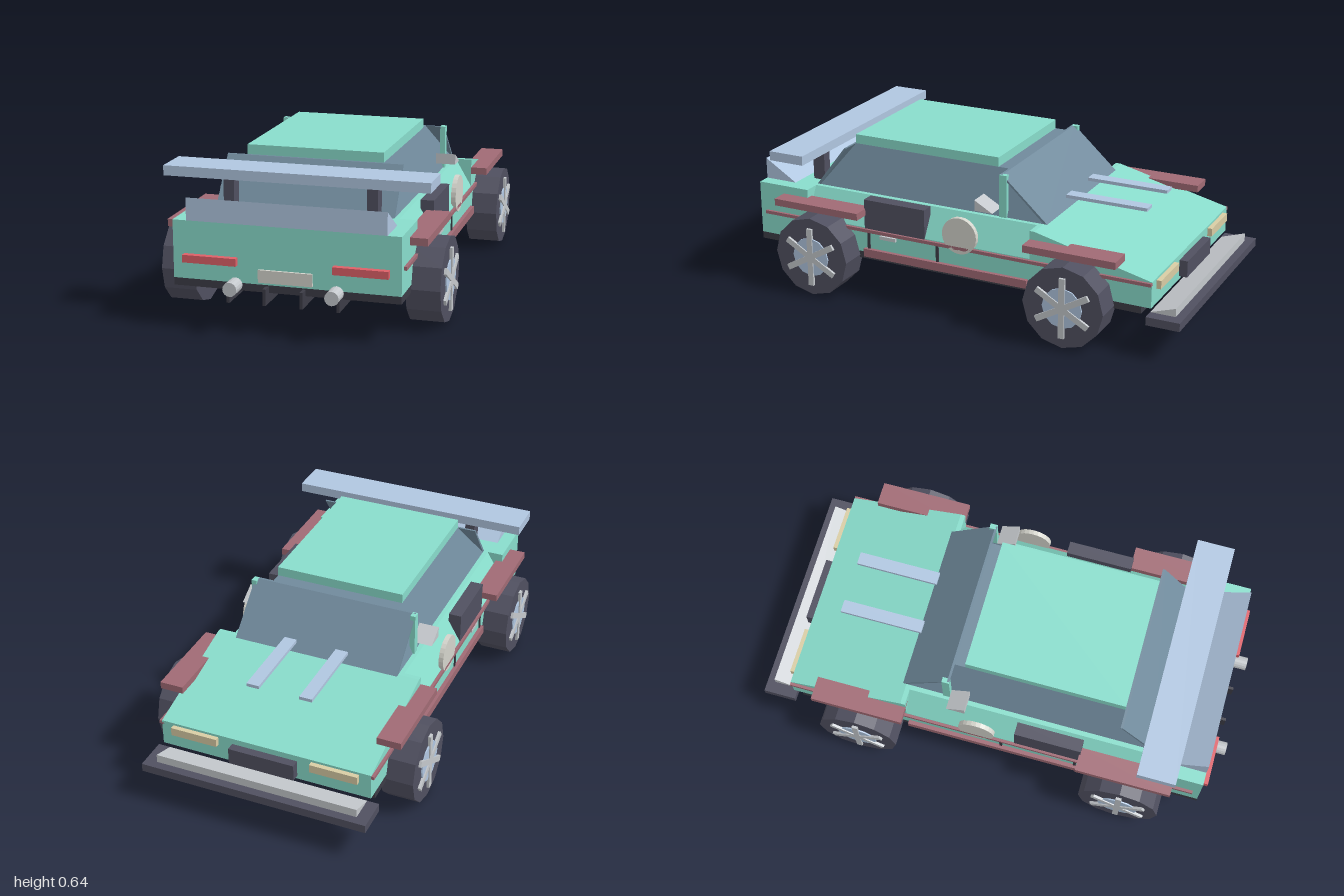
import * as THREE from 'three';

const COLORS = {
  green: 0x88dccb, slate: 0x708a9c, blue: 0xb0c6e0, maroon: 0xa06a74, red: 0xdd6068,
  dark: 0x505060, black: 0x3c3c46, grey: 0xc4c8cc, plate: 0xd4d4cc, cream: 0xd8cca4,
};
const mats = {};
for (const k in COLORS) {
  mats[k] = new THREE.MeshStandardMaterial({ color: COLORS[k], flatShading: true });
}

export function createModel() {
  const car = new THREE.Group();
  car.name = 'car';

  function add(name, geo, color, parent = car) {
    const mesh = new THREE.Mesh(geo, mats[color]);
    mesh.name = name;
    parent.add(mesh);
    return mesh;
  }
  // Box from its min and max along each axis
  function box(name, color, [x0, x1], [y0, y1], [z0, z1], parent) {
    const geo = new THREE.BoxGeometry(x1 - x0, y1 - y0, z1 - z0);
    geo.translate((x0 + x1) / 2, (y0 + y1) / 2, (z0 + z1) / 2);
    return add(name, geo, color, parent);
  }
  function extrude(points, depth) {
    const shape = new THREE.Shape(points.map(([a, b]) => new THREE.Vector2(a, b)));
    return new THREE.ExtrudeGeometry(shape, { depth, bevelEnabled: false });
  }
  // Side profile of [z, y] points, spanning x0 to x1
  function prismGeo(points, x0, x1) {
    return extrude(points, x1 - x0).rotateY(-Math.PI / 2).translate(x1, 0, 0);
  }
  // Same box on both sides, given for +x
  function pair(name, color, [x0, x1], ys, zs) {
    box(name + 'Left', color, [x0, x1], ys, zs);
    box(name + 'Right', color, [-x1, -x0], ys, zs);
  }

  // Body: sloping hood, cabin section with slanted shoulders, tail
  add('hood', prismGeo([[-0.35, 0.19], [-0.35, 0.42], [-0.37, 0.42], [-0.87, 0.3], [-0.87, 0.19]], -0.45, 0.45), 'green');
  const section = [[-0.45, 0.19], [0.45, 0.19], [0.45, 0.3], [0.38, 0.42], [-0.38, 0.42], [-0.45, 0.3]];
  add('cabinBody', extrude(section, 1.04).translate(0, 0, -0.35), 'green');
  box('tailBody', 'green', [-0.45, 0.45], [0.19, 0.42], [0.69, 0.93]);
  box('floor', 'black', [-0.45, 0.45], [0.16, 0.19], [-0.83, 0.93]);

  // Glasshouse narrowing to the roof, with full-width front and rear screens
  const glass = prismGeo([[-0.38, 0.42], [-0.18, 0.6], [0.55, 0.6], [0.69, 0.42]], -0.36, 0.36);
  const p = glass.attributes.position;
  for (let i = 0; i < p.count; i++) if (p.getY(i) > 0.5) p.setX(i, p.getX(i) * 0.28 / 0.36);
  glass.computeVertexNormals();
  add('glasshouse', glass, 'slate');
  add('windshield', prismGeo([[-0.385, 0.42], [-0.185, 0.6], [-0.175, 0.6], [-0.37, 0.42]], -0.36, 0.36), 'slate');
  add('rearWindow', prismGeo([[0.695, 0.42], [0.555, 0.6], [0.545, 0.6], [0.68, 0.42]], -0.36, 0.36), 'slate');
  box('roof', 'green', [-0.28, 0.28], [0.6, 0.64], [-0.13, 0.545]);
  pair('pillar', 'green', [0.345, 0.367], [0.42, 0.6], [-0.207, -0.175]);

  // Rear wing and ducktail
  box('wing', 'blue', [-0.53, 0.53], [0.56, 0.6], [0.655, 0.815]);
  pair('wingStrut', 'dark', [0.267, 0.31], [0.42, 0.56], [0.69, 0.745]);
  add('ducktail', prismGeo([[0.93, 0.42], [0.93, 0.51], [0.785, 0.42]], -0.395, 0.395), 'blue');

  // Tail details
  pair('tailLight', 'red', [0.19, 0.405], [0.26, 0.29], [0.92, 0.955]);
  box('plate', 'plate', [-0.107, 0.107], [0.2, 0.25], [0.92, 0.94]);
  for (const x of [-0.217, -0.073, 0.073, 0.217]) {
    box('diffuserFin', 'black', [x - 0.006, x + 0.006], [0.12, 0.185], [0.82, 0.97]);
  }
  for (const s of [-1, 1]) {
    const pipe = new THREE.CylinderGeometry(0.028, 0.028, 0.14, 16).rotateX(Math.PI / 2);
    add('exhaust', pipe.translate(s * 0.2, 0.182, 0.93), 'grey');
  }

  // Nose details
  pair('headlight', 'cream', [0.2, 0.4], [0.255, 0.29], [-0.89, -0.86]);
  box('grille', 'dark', [-0.14, 0.14], [0.205, 0.275], [-0.905, -0.86]);
  box('splitter', 'dark', [-0.48, 0.48], [0.13, 0.165], [-1, -0.86]);
  add('splitterRamp', prismGeo([[-0.86, 0.165], [-0.965, 0.165], [-0.965, 0.2]], -0.43, 0.43), 'grey');
  pair('hoodStrip', 'blue', [0.087, 0.141], [0.458, 0.472], [-0.725, -0.37]);

  // Flank details
  pair('rearFender', 'maroon', [0.42, 0.52], [0.355, 0.385], [0.405, 0.81]);
  pair('frontFender', 'maroon', [0.42, 0.52], [0.355, 0.385], [-0.745, -0.35]);
  pair('sideSkirt', 'maroon', [0.42, 0.467], [0.175, 0.21], [-0.345, 0.41]);
  pair('sideStripe', 'maroon', [0.44, 0.462], [0.283, 0.297], [-0.87, 0.9]);
  pair('sideIntake', 'dark', [0.397, 0.452], [0.295, 0.425], [0.125, 0.41]);
  pair('doorGapRear', 'black', [0.44, 0.455], [0.21, 0.285], [0.385, 0.397]);
  pair('doorGapFront', 'black', [0.44, 0.455], [0.21, 0.285], [0.06, 0.072]);
  pair('doorHandle', 'grey', [0.44, 0.46], [0.262, 0.277], [0.26, 0.335]);
  for (const s of [-1, 1]) {
    const disc = new THREE.CylinderGeometry(0.078, 0.078, 0.02, 24).rotateZ(Math.PI / 2);
    add('doorRoundel', disc.translate(s * 0.452, 0.345, -0.04), 'plate');
    const m = [[-0.095, 0.455], [-0.095, 0.5], [-0.175, 0.455]];
    add('mirror', s > 0 ? prismGeo(m, 0.345, 0.43) : prismGeo(m, -0.43, -0.345), 'grey');
  }

  // Wheels: faceted tyre, hub disc and three crossing spoke bars
  for (const s of [-1, 1]) for (const z of [-0.545, 0.61]) {
    const wheel = new THREE.Group();
    wheel.name = 'wheel';
    wheel.position.set(s * 0.495, 0.172, z);
    add('tyre', new THREE.CylinderGeometry(0.172, 0.172, 0.136, 12).rotateZ(Math.PI / 2), 'dark', wheel);
    const hub = new THREE.CylinderGeometry(0.085, 0.085, 0.02, 12).rotateZ(Math.PI / 2);
    add('hub', hub.translate(s * 0.064, 0, 0), 'blue', wheel);
    for (let i = 0; i < 3; i++) {
      const bar = new THREE.BoxGeometry(0.02, 0.255, 0.025).rotateX(i * Math.PI / 3);
      add('spoke', bar.translate(s * 0.069, 0, 0), 'grey', wheel);
    }
    car.add(wheel);
  }
  return car;
}
